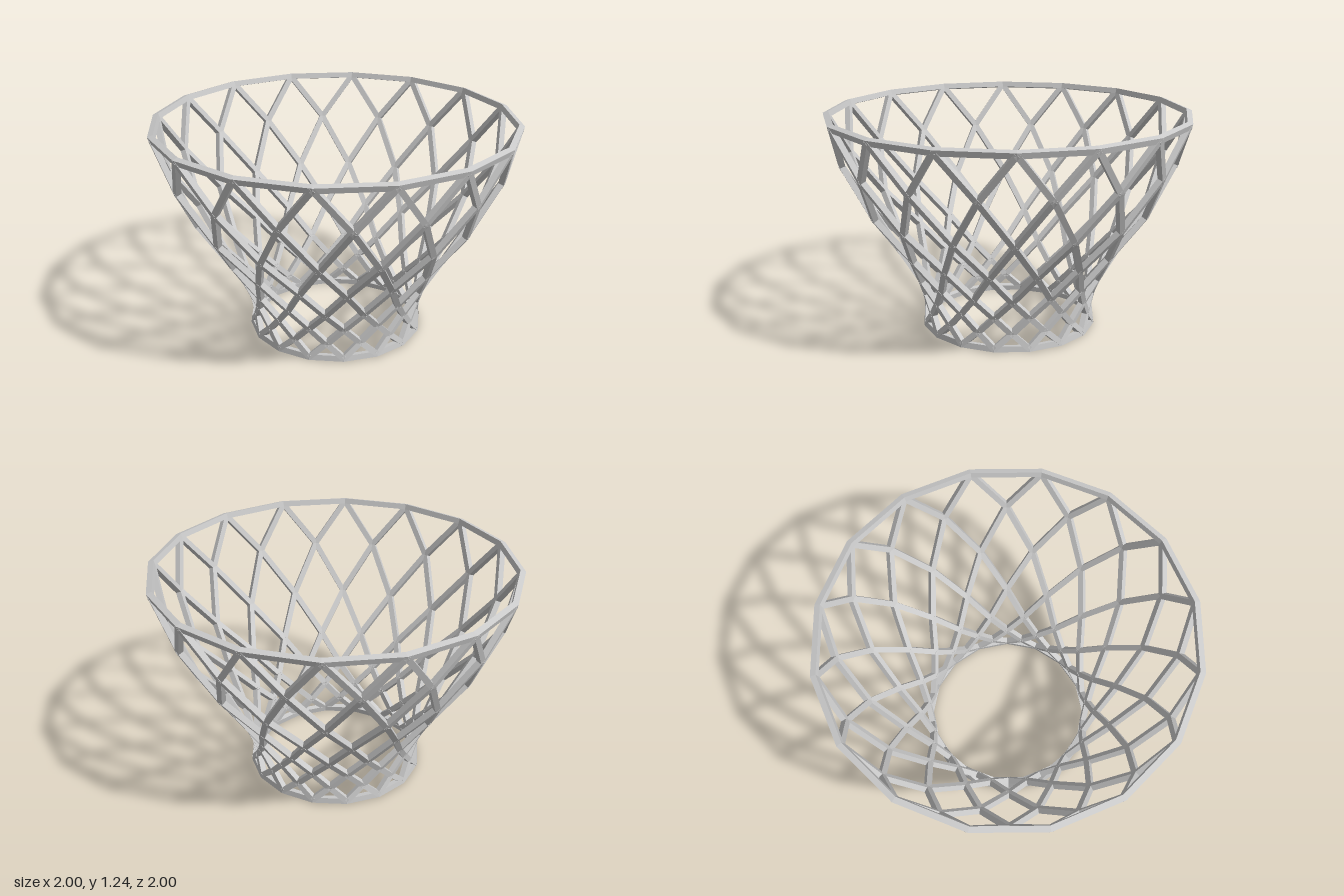
import * as THREE from 'three';

const SIDES = 16;
const BAR = 0.032;
// lattice rows from rim to base: [radius, height]; every other row is turned half a step
const ROWS = [
  [0.999, 1.217], [0.922, 0.968], [0.787, 0.7], [0.632, 0.48],
  [0.53, 0.312], [0.483, 0.2], [0.468, 0.103], [0.48, 0.018],
];
const STEP = (Math.PI * 2) / SIDES;

function node(row, k) {
  const [r, y] = ROWS[row];
  const a = k * STEP;
  return new THREE.Vector3(r * Math.sin(a), y, r * Math.cos(a));
}

// square bar between two lattice nodes, its flat face lying on the basket wall
function strut(a, b, material) {
  const along = b.clone().sub(a);
  const length = along.length();
  along.normalize();
  const mid = a.clone().add(b).multiplyScalar(0.5);
  const dr = Math.hypot(a.x, a.z) - Math.hypot(b.x, b.z);
  const dy = a.y - b.y;
  const normal = new THREE.Vector3(mid.x, 0, mid.z).normalize().multiplyScalar(dy);
  normal.y = -dr;
  normal.addScaledVector(along, -normal.dot(along)).normalize();
  const side = new THREE.Vector3().crossVectors(along, normal);
  const mesh = new THREE.Mesh(new THREE.BoxGeometry(BAR, length + 0.006, BAR), material);
  mesh.quaternion.setFromRotationMatrix(new THREE.Matrix4().makeBasis(side, along, normal).transpose().invert());
  mesh.position.copy(mid);
  return mesh;
}

// mitred sixteen-sided ring with a square section tilted to follow the wall
function ring(row, next, phase, material) {
  const [r, y] = ROWS[row];
  const slope = Math.atan2(ROWS[next][0] - r, ROWS[next][1] - y);
  const tilt = Math.atan(Math.tan(slope));
  const h = BAR / 2;
  const profile = [[-h, -h], [h, -h], [h, h], [-h, h], [-h, -h]].map(([u, v]) =>
    new THREE.Vector2(
      r + u * Math.cos(tilt) + v * Math.sin(tilt),
      y - u * Math.sin(tilt) + v * Math.cos(tilt)));
  return new THREE.Mesh(new THREE.LatheGeometry(profile, SIDES, phase), material);
}

export function createModel() {
  const model = new THREE.Group();
  model.name = 'latticeBasket';
  const material = new THREE.MeshStandardMaterial({ color: 0xcccccc, flatShading: true });

  // diagonal lattice wall: two crossing struts below every node
  const wall = new THREE.Group();
  wall.name = 'latticeWall';
  for (let row = 0; row < ROWS.length - 1; row++) {
    const offset = row % 2 === 0 ? 0.5 : 0;
    for (let i = 0; i < SIDES; i++) {
      const k = i + offset;
      for (const turn of [-0.5, 0.5]) {
        const bar = strut(node(row, k), node(row + 1, k + turn), material);
        bar.name = 'strut';
        wall.add(bar);
      }
    }
  }
  model.add(wall);

  // top and bottom rings
  const last = ROWS.length - 1;
  const rim = ring(0, 1, STEP / 2, material);
  rim.name = 'topRim';
  const base = ring(last, last - 1, 0, material);
  base.name = 'baseRing';
  model.add(rim, base);
  return model;
}
